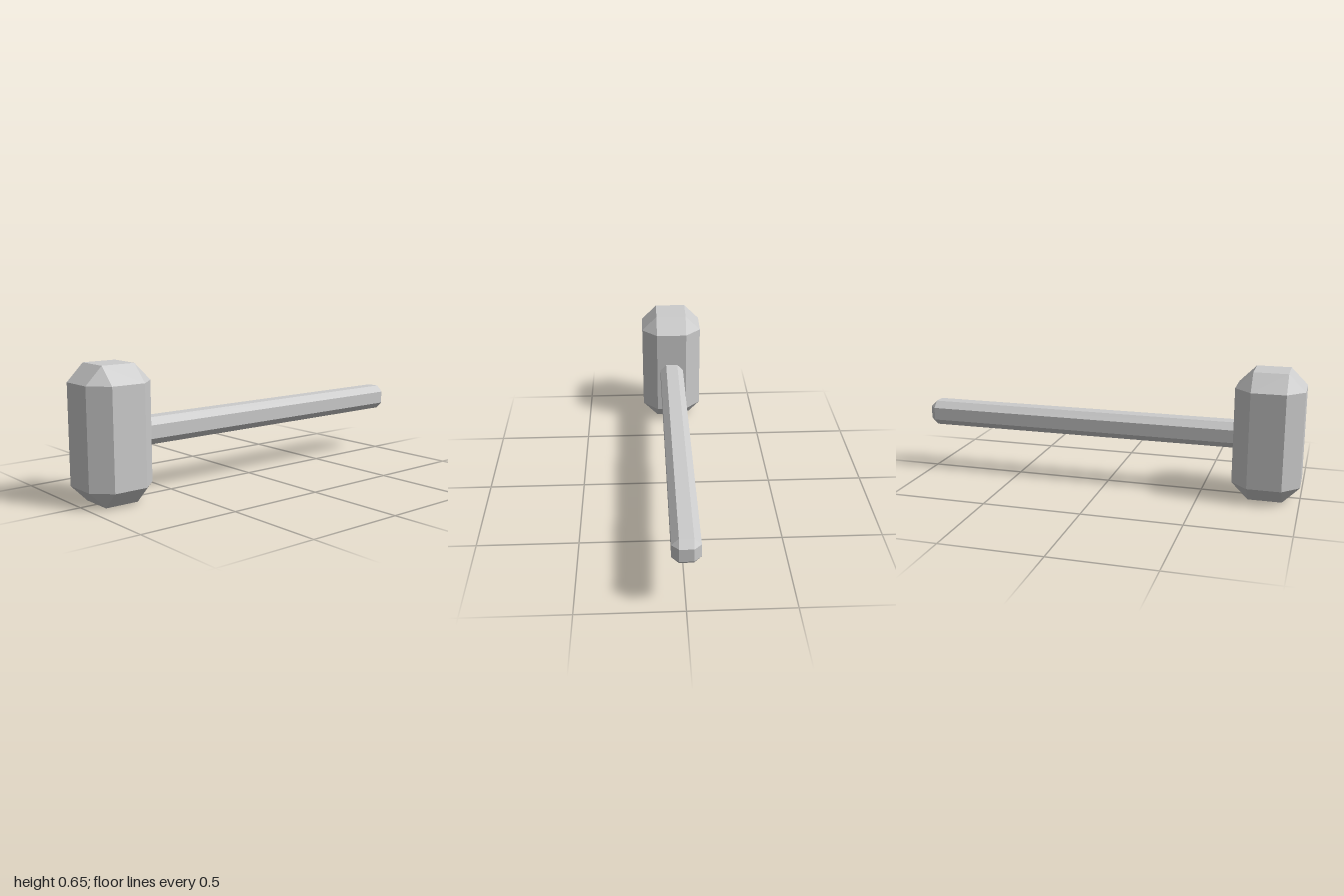
import * as THREE from 'three';
import { ConvexGeometry } from 'three/addons/geometries/ConvexGeometry.js';

const material = new THREE.MeshStandardMaterial({ color: 0xcccccc, flatShading: true });

// Box with every edge cut at 45 degrees and a triangle at each corner
function chamferedBox(name, width, height, depth, bevel) {
  const [x, y, z] = [width / 2, height / 2, depth / 2];
  const points = [];
  for (const sx of [-1, 1]) for (const sy of [-1, 1]) for (const sz of [-1, 1]) {
    points.push(
      new THREE.Vector3(sx * x, sy * (y - bevel), sz * (z - bevel)),
      new THREE.Vector3(sx * (x - bevel), sy * y, sz * (z - bevel)),
      new THREE.Vector3(sx * (x - bevel), sy * (y - bevel), sz * z)
    );
  }
  const mesh = new THREE.Mesh(new ConvexGeometry(points), material);
  mesh.name = name;
  return mesh;
}

export function createModel() {
  const group = new THREE.Group();
  group.name = 'mallet';

  // Upright head at the left end
  const head = chamferedBox('head', 0.337, 0.65, 0.337, 0.084);
  head.position.set(-0.8315, 0.325, 0);

  // Long handle, its inner end seated inside the head
  const handle = chamferedBox('handle', 1.8, 0.131, 0.131, 0.033);
  handle.position.set(0.1, 0.3135, 0);

  group.add(head, handle);
  return group;
}
